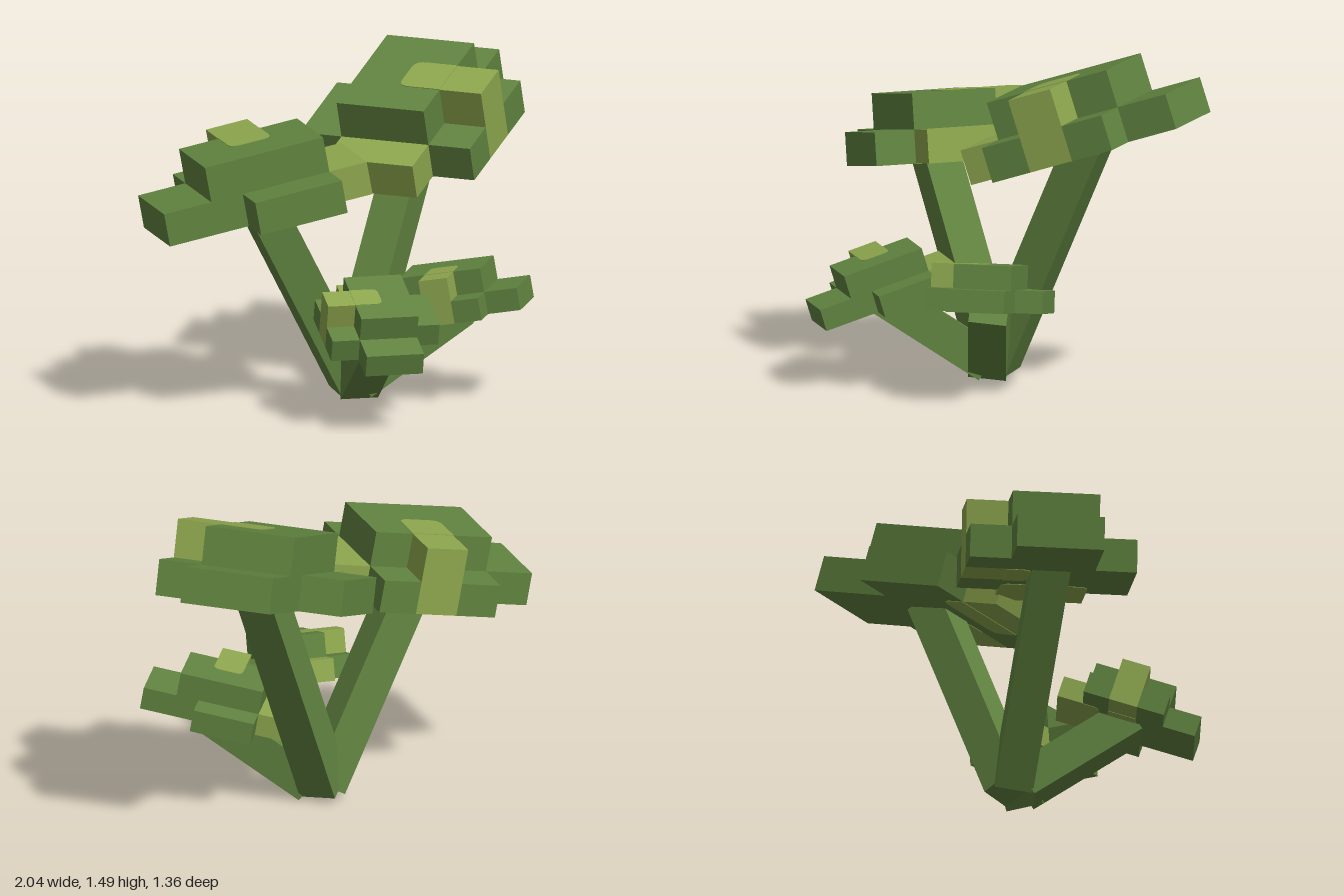
import * as THREE from 'three';

const green = new THREE.MeshStandardMaterial({ color: 0x618440 });
green.name = 'leafGreen';
const olive = new THREE.MeshStandardMaterial({ color: 0x8ea74e });
olive.name = 'paleOlive';

// Box given by its minimum and maximum corners
function block(name, mat, [x0, y0, z0], [x1, y1, z1]) {
  const geo = new THREE.BoxGeometry(x1 - x0, y1 - y0, z1 - z0);
  geo.translate((x0 + x1) / 2, (y0 + y1) / 2, (z0 + z1) / 2);
  const mesh = new THREE.Mesh(geo, mat);
  mesh.name = name;
  return mesh;
}

// Thin painted tongue: starts at the origin, runs along -z, with a rounded tip
function patch(name, width, length) {
  const w = width / 2, r = 0.05;
  const s = new THREE.Shape();
  s.moveTo(-w, 0);
  s.lineTo(w, 0);
  s.lineTo(w, length - r);
  s.quadraticCurveTo(w, length, w - r, length);
  s.lineTo(-w + r, length);
  s.quadraticCurveTo(-w, length, -w, length - r);
  const geo = new THREE.ExtrudeGeometry(s, { depth: 0.006, bevelEnabled: false, curveSegments: 5 });
  geo.rotateX(-Math.PI / 2);
  geo.translate(0, -0.003, 0);
  const mesh = new THREE.Mesh(geo, olive);
  mesh.name = name;
  return mesh;
}

// Blocky leaf cluster; its underside is centred on the origin
function leafCluster() {
  const g = new THREE.Group();
  const h = 0.162, top = 0.335;
  g.add(
    block('leafCore', green, [-0.3, 0, -0.21], [0.3, top, 0.21]),
    block('longLobe', green, [0.3, 0, -0.21], [0.54, h, 0.21]),
    block('paleLobe', olive, [-0.49, 0, -0.21], [-0.3, h, 0.21]),
    block('sideLobe', green, [-0.3, 0, -0.41], [0.14, h, -0.21]),
    block('innerLobe', green, [-0.3, 0, 0.21], [-0.11, h, 0.41]),
    block('outerLobe', green, [0.1, 0, 0.21], [0.3, h, 0.41]),
    block('paleColumn', olive, [-0.11, 0, 0.21], [0.1, top, 0.41])
  );
  const topPatch = patch('topPatch', 0.21, 0.2);
  topPatch.position.set(-0.005, top, 0.21);
  const underPatch = patch('underPatch', 0.21, 0.12);
  underPatch.position.set(-0.005, 0, 0.21);
  const underLobePatch = patch('underLobePatch', 0.42, 0.12);
  underLobePatch.rotation.y = -Math.PI / 2;
  underLobePatch.position.set(-0.3, 0, 0);
  g.add(topPatch, underPatch, underLobePatch);
  return g;
}

// Square stem from the base to a cluster, turned to match its side axis
function stem(from, to, side) {
  const y = to.clone().sub(from);
  const len = y.length() + 0.05;
  y.normalize();
  const x = y.clone().cross(side).normalize();
  const z = x.clone().cross(y);
  const geo = new THREE.BoxGeometry(0.17, len, 0.17).translate(0, len / 2, 0);
  const mesh = new THREE.Mesh(geo, green);
  mesh.quaternion.setFromRotationMatrix(new THREE.Matrix4().makeBasis(x, y, z));
  mesh.position.copy(from);
  return mesh;
}

export function createModel() {
  const model = new THREE.Group();
  model.name = 'blockyPlant';
  // Cluster position, yaw and tilt in degrees, size, and stem foot
  const branches = [
    { name: 'upperLeft', pos: [0.474, 1.069, -0.211], yaw: 24, tilt: 18.4, size: 1, foot: [0, 0.05, -0.12] },
    { name: 'upperRight', pos: [-0.453, 0.891, -0.2], yaw: 154.5, tilt: -10.5, size: 0.93, foot: [0, 0.05, -0.11] },
    { name: 'lowerRight', pos: [-0.236, 0.362, 0.317], yaw: 240, tilt: -17.2, size: 0.62, foot: [-0.015, 0.066, -0.06] },
    { name: 'lowerLeft', pos: [0.308, 0.374, 0.227], yaw: -56, tilt: 10, size: 0.625, foot: [0.015, 0.066, -0.06] },
  ];
  for (const b of branches) {
    const cluster = leafCluster();
    cluster.name = b.name + 'Leaves';
    cluster.rotation.set(0, THREE.MathUtils.degToRad(b.yaw), THREE.MathUtils.degToRad(b.tilt), 'YXZ');
    cluster.position.set(...b.pos);
    cluster.scale.setScalar(b.size);
    const side = new THREE.Vector3(0, 0, 1).applyEuler(cluster.rotation);
    const stalk = stem(new THREE.Vector3(...b.foot), cluster.position, side);
    stalk.name = b.name + 'Stem';
    model.add(cluster, stalk);
  }
  return model;
}
